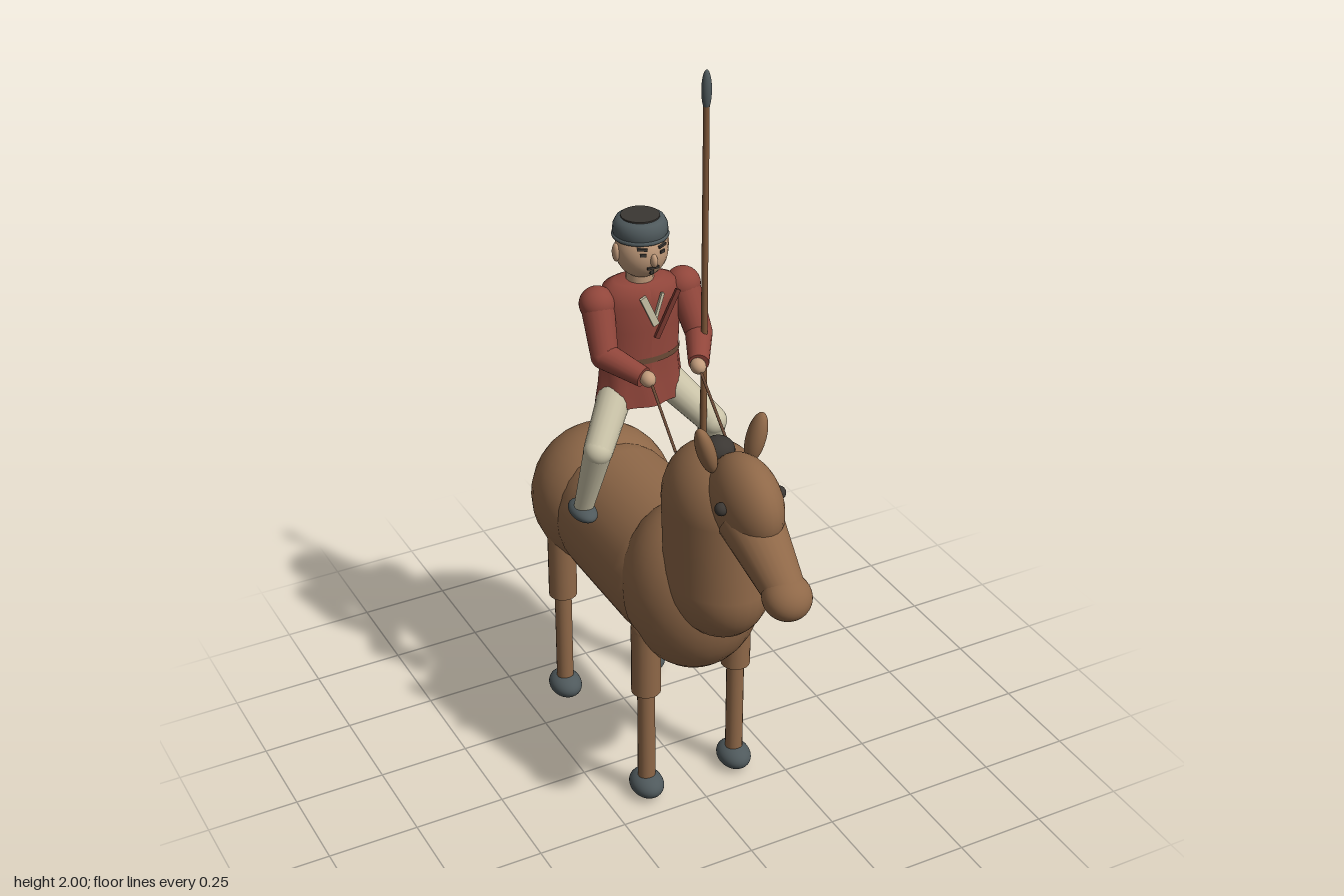
import * as THREE from 'three';

const mat = (name, color, side = THREE.FrontSide) => {
  const m = new THREE.MeshStandardMaterial({ color, side });
  m.name = name;
  return m;
};

export function createModel() {
  const hide = mat('brown hide', 0x8f6848);
  const dark = mat('dark hair', 0x3b3733);
  const slate = mat('slate', 0x4f595c);
  const cream = mat('cream cloth', 0xcac3a8);
  const red = mat('red cloth', 0x91463b, THREE.DoubleSide);
  const deepRed = mat('deep red trim', 0x74362e);
  const skin = mat('skin', 0xc29c7c);
  const wood = mat('wood', 0x7d5638);
  const belt = mat('belt leather', 0x6a4a36);

  const model = new THREE.Group();
  const horse = new THREE.Group();
  horse.name = 'horse';
  const rider = new THREE.Group();
  rider.name = 'rider';
  model.add(horse, rider);
  const V = (p) => new THREE.Vector3(...p);

  const add = (parent, name, geo, material, pos = [0, 0, 0], rot = [0, 0, 0]) => {
    const m = new THREE.Mesh(geo, material);
    m.name = name;
    m.position.set(...pos);
    m.rotation.set(...rot);
    parent.add(m);
    return m;
  };
  // ellipsoid with radii r
  const ball = (parent, name, material, pos, r, rot) => {
    const m = add(parent, name, new THREE.SphereGeometry(1, 28, 18), material, pos, rot);
    m.scale.set(...r);
    return m;
  };
  // tapered cylinder from a to b
  const limb = (parent, name, material, a, b, ra, rb = ra, sides = 18) => {
    const d = V(b).sub(V(a));
    const m = add(parent, name, new THREE.CylinderGeometry(rb, ra, d.length(), sides), material);
    m.position.copy(V(a)).addScaledVector(d, 0.5);
    m.quaternion.setFromUnitVectors(new THREE.Vector3(0, 1, 0), d.normalize());
    return m;
  };

  // ---- horse body
  const barrel = add(horse, 'barrel', new THREE.CapsuleGeometry(0.198, 0.3, 10, 28), hide,
    [0, 0.643, -0.1], [Math.PI / 2, 0, 0]);
  barrel.scale.x = 0.92;
  ball(horse, 'rump', hide, [0, 0.645, -0.37], [0.2, 0.203, 0.195]);
  ball(horse, 'chest', hide, [0, 0.66, 0.16], [0.186, 0.238, 0.195]);
  const neck = add(horse, 'neck', new THREE.CapsuleGeometry(0.166, 0.21, 10, 28), hide,
    [0, 0.873, 0.287], [-0.06, 0, 0]);
  neck.scale.x = 0.79;

  // ---- horse head
  ball(horse, 'skull', hide, [0, 1.062, 0.43], [0.08, 0.122, 0.135]);
  limb(horse, 'muzzle', hide, [0, 1.025, 0.45], [0, 0.91, 0.635], 0.082, 0.052, 24);
  ball(horse, 'nose', hide, [0, 0.907, 0.638], [0.063, 0.055, 0.063], [0.45, 0, 0]);
  ball(horse, 'forelock', dark, [0, 1.135, 0.29], [0.042, 0.036, 0.042]);
  limb(horse, 'tail', dark, [0, 0.6, -0.497], [0, 0.222, -0.66], 0.038);

  for (const s of [-1, 1]) {
    ball(horse, 'horseEar', hide, [s * 0.07, 1.185, 0.353], [0.023, 0.068, 0.03], [0, 0, -s * 0.28]);
    ball(horse, 'horseEye', dark, [s * 0.082, 1.077, 0.453], [0.016, 0.017, 0.017]);
    for (const z of [0.157, -0.355]) {
      const x = s * 0.136;
      limb(horse, 'upperLeg', hide, [x, 0.355, z], [x, 0.56, z], 0.04);
      ball(horse, 'legTop', hide, [x, 0.56, z], [0.04, 0.04, 0.04]);
      limb(horse, 'lowerLeg', hide, [x, 0.04, z], [x, 0.37, z], 0.024);
      ball(horse, 'hoof', slate, [x, 0.04, z], [0.045, 0.036, 0.058]);
    }
    limb(horse, 'rein', belt, [s * 0.07, 1.235, 0.06], [s * 0.072, 1.1, 0.2], 0.004, 0.004, 8);
  }

  // ---- rider's coat with a gently wavy hem
  const cz = -0.137;
  const profile = [[0.124, 1.083], [0.116, 1.14], [0.108, 1.21], [0.112, 1.3], [0.113, 1.37],
    [0.1, 1.41], [0.07, 1.422], [0.034, 1.424]].map((p) => new THREE.Vector2(...p));
  const coatGeo = new THREE.LatheGeometry(profile, 40);
  const pos = coatGeo.attributes.position;
  for (let i = 0; i < pos.count; i++) {
    const x = pos.getX(i), y = pos.getY(i), z = pos.getZ(i);
    const k = 1 + 0.05 * Math.max(0, (1.21 - y) / 0.13) * Math.cos(8 * Math.atan2(x, z));
    pos.setXYZ(i, x * k, y, z * k * 0.65);
  }
  coatGeo.computeVertexNormals();
  add(rider, 'coat', coatGeo, red, [0, 0, cz]);
  const beltMesh = add(rider, 'belt', new THREE.CylinderGeometry(0.111, 0.111, 0.016, 40, 1, true), belt, [0, 1.215, cz]);
  beltMesh.scale.z = 0.66;
  beltMesh.material = belt;

  // shirt opening and lapels
  const bar = (name, material, a, b, w) => {
    const m = add(rider, name, new THREE.BoxGeometry(w, Math.hypot(b[0] - a[0], b[1] - a[1]), 0.008), material,
      [(a[0] + b[0]) / 2, (a[1] + b[1]) / 2, (a[2] + b[2]) / 2]);
    m.rotation.z = -Math.atan2(b[0] - a[0], b[1] - a[1]);
  };
  bar('shirtEdge', cream, [0.008, 1.32, -0.057], [-0.03, 1.405, -0.057], 0.018);
  bar('shirtEdge', cream, [0.005, 1.33, -0.06], [0.028, 1.405, -0.06], 0.008);
  bar('lapel', deepRed, [0.01, 1.28, -0.059], [0.072, 1.405, -0.059], 0.014);

  // ---- arms and legs
  for (const s of [-1, 1]) {
    const shoulder = [s * 0.123, 1.378, -0.13];
    const elbow = [s * 0.136, 1.262, -0.065];
    const wrist = [s * 0.079, 1.237, 0.04];
    ball(rider, 'shoulder', red, shoulder, [0.047, 0.046, 0.047]);
    limb(rider, 'upperArm', red, shoulder, elbow, 0.044, 0.036);
    ball(rider, 'elbow', red, elbow, [0.036, 0.036, 0.036]);
    limb(rider, 'forearm', red, elbow, wrist, 0.036, 0.027);
    ball(rider, 'hand', skin, [s * 0.072, 1.235, 0.05], [0.02, 0.021, 0.024]);

    const hip = [s * 0.075, 1.11, -0.125];
    const knee = [s * 0.168, 1.0, -0.045];
    const ankle = [s * 0.182, 0.797, -0.11];
    limb(rider, 'thigh', cream, hip, knee, 0.046, 0.039);
    ball(rider, 'knee', cream, knee, [0.039, 0.039, 0.039]);
    limb(rider, 'shin', cream, knee, ankle, 0.038, 0.026);
    ball(rider, 'boot', slate, [s * 0.184, 0.784, -0.112], [0.034, 0.022, 0.058]);
  }

  // ---- rider's head
  limb(rider, 'neck', skin, [0, 1.39, -0.135], [0, 1.47, -0.13], 0.036);
  ball(rider, 'head', skin, [0, 1.512, -0.122], [0.069, 0.077, 0.068]);
  ball(rider, 'nose', skin, [0, 1.504, -0.053], [0.009, 0.018, 0.013]);
  for (const s of [-1, 1]) {
    ball(rider, 'ear', skin, [s * 0.07, 1.512, -0.127], [0.009, 0.025, 0.014]);
    add(rider, 'eye', new THREE.BoxGeometry(0.016, 0.008, 0.006), dark, [s * 0.027, 1.522, -0.06], [0, s * 0.4, 0]);
    add(rider, 'eyebrow', new THREE.BoxGeometry(0.026, 0.006, 0.008), dark, [s * 0.028, 1.537, -0.063], [0, s * 0.4, s * 0.12]);
  }
  add(rider, 'moustache', new THREE.BoxGeometry(0.032, 0.006, 0.008), dark, [0, 1.483, -0.058]);
  add(rider, 'chinTuft', new THREE.BoxGeometry(0.01, 0.01, 0.008), dark, [0, 1.468, -0.066]);

  // cap, its band and two ties at the back
  const cap = [[0.066, 1.545], [0.071, 1.56], [0.07, 1.578], [0.062, 1.594], [0.045, 1.6], [0.0001, 1.6]]
    .map((p) => new THREE.Vector2(...p));
  add(rider, 'cap', new THREE.LatheGeometry(cap, 28), slate, [0, 0, -0.128]);
  add(rider, 'capBand', new THREE.TorusGeometry(0.068, 0.006, 8, 28), slate, [0, 1.55, -0.128], [Math.PI / 2, 0, 0]);
  add(rider, 'capTop', new THREE.CylinderGeometry(0.05, 0.05, 0.004, 28), dark, [0, 1.6, -0.128]);
  ball(rider, 'capKnot', slate, [0.02, 1.557, -0.193], [0.013, 0.011, 0.01]);
  add(rider, 'capTie', new THREE.BoxGeometry(0.014, 0.07, 0.006), slate, [0.03, 1.523, -0.2], [0.2, 0, 0.2]);
  add(rider, 'capTie', new THREE.BoxGeometry(0.012, 0.05, 0.006), slate, [0.012, 1.532, -0.197], [0.15, 0, -0.15]);

  // ---- spear
  limb(rider, 'spearShaft', wood, [0.13, 0.93, -0.025], [0.13, 1.92, -0.025], 0.009, 0.008, 12);
  ball(rider, 'spearHead', slate, [0.13, 1.947, -0.025], [0.013, 0.053, 0.013]);

  return model;
}
